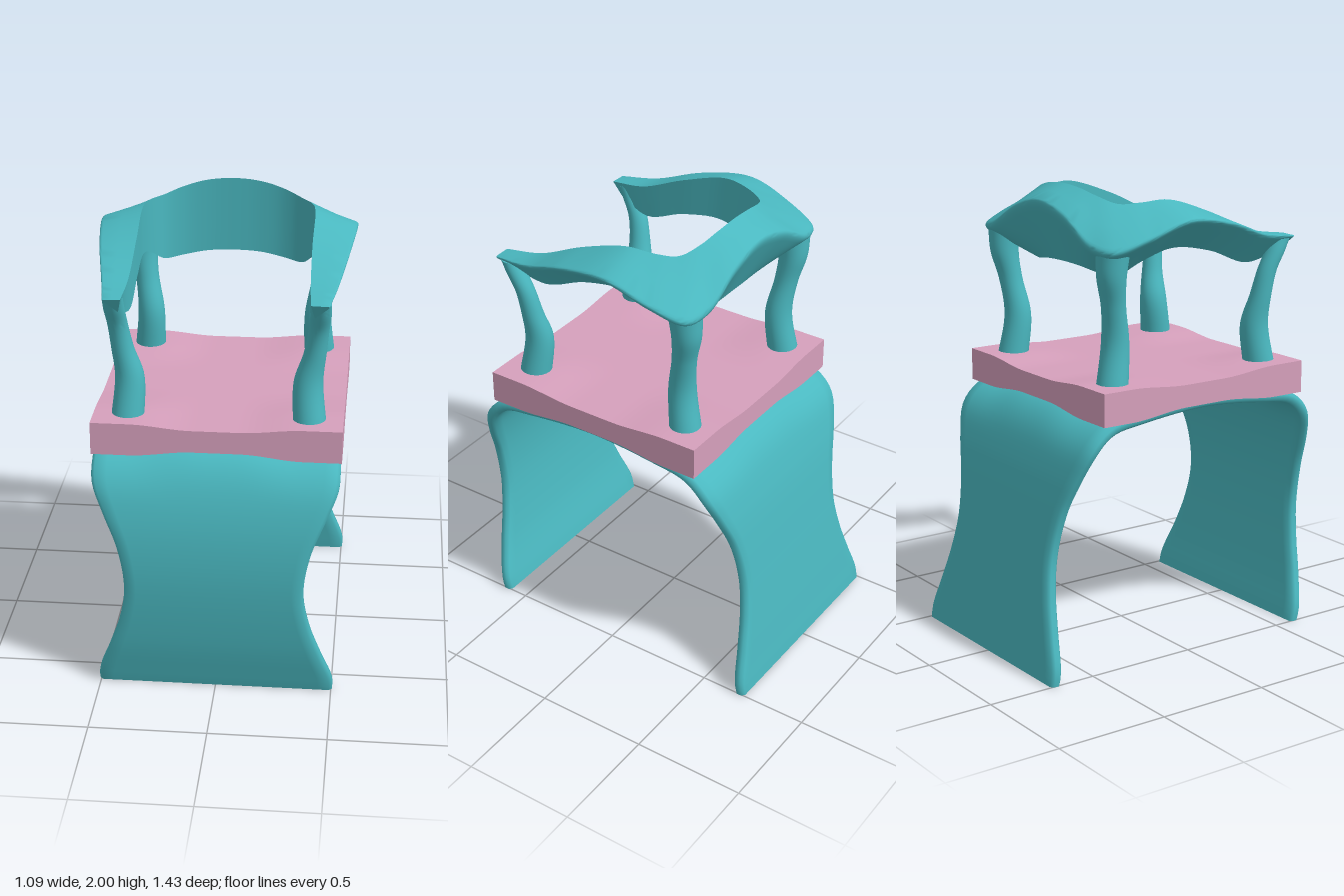
import * as THREE from 'three';
import { toCreasedNormals } from 'three/addons/utils/BufferGeometryUtils.js';

const teal = new THREE.MeshStandardMaterial({ color: 0x4ab8c0 });
const pink = new THREE.MeshStandardMaterial({ color: 0xd6a0bc });
const V = (x, y, z) => new THREE.Vector3(x, y, z);
const smooth = THREE.MathUtils.smoothstep;

// Skin a list of equal-length closed rings and cap both ends
function loft(rings, crease) {
  const n = rings[0].length, pos = [], idx = [];
  rings.forEach(r => r.forEach(p => pos.push(p.x, p.y, p.z)));
  for (let i = 0; i < rings.length - 1; i++) {
    for (let j = 0; j < n; j++) {
      const k = (j + 1) % n, a = i * n + j, b = i * n + k;
      idx.push(a, a + n, b + n, a, b + n, b);
    }
  }
  [0, rings.length - 1].forEach((i, end) => {
    const c = pos.length / 3;
    const mid = rings[i].reduce((s, p) => s.add(p), V(0, 0, 0)).divideScalar(n);
    pos.push(mid.x, mid.y, mid.z);
    for (let j = 0; j < n; j++) {
      const a = i * n + j, b = i * n + (j + 1) % n;
      if (end) idx.push(c, b, a); else idx.push(c, a, b);
    }
  });
  const g = new THREE.BufferGeometry();
  g.setAttribute('position', new THREE.Float32BufferAttribute(pos, 3));
  g.setIndex(idx);
  return toCreasedNormals(g, crease);
}

function part(name, geometry, material) {
  const m = new THREE.Mesh(geometry, material);
  m.name = name;
  return m;
}

// Hollow of the seat: 0 at the corners, 1 along the middle of each direction
const hollowX = x => 1 - smooth(Math.abs(x), 0.1, 0.36);
const hollowZ = z => 1 - smooth(Math.abs(z - 0.07), 0.1, 0.38);

// Seat slab with gently waved top and bottom
function seatGeometry() {
  const g = new THREE.BoxGeometry(1.04, 1, 1.045, 32, 1, 32).translate(0, 0, 0.0725);
  const p = g.attributes.position;
  for (let i = 0; i < p.count; i++) {
    const h = 1 - (1 - hollowX(p.getX(i))) * (1 - hollowZ(p.getZ(i)));
    p.setY(i, p.getY(i) > 0 ? 1.214 - 0.02 * h : 1.073 + 0.024 * h);
  }
  return toCreasedNormals(g, 0.6);
}

// Bent sheet: front leg, underside of the seat and back leg in one sweep
function baseGeometry() {
  const path = new THREE.CatmullRomCurve3([
    [0.605, 0], [0.665, 0.25], [0.70, 0.58], [0.68, 0.82], [0.63, 0.97], [0.555, 1.045],
    [0.4, 1.076], [0.08, 1.104], [-0.25, 1.078], [-0.4, 1.05], [-0.485, 0.98],
    [-0.54, 0.84], [-0.61, 0.48], [-0.685, 0],
  ].map(([z, y]) => V(0, y, z)));
  const width = new THREE.CubicInterpolant(
    [0, 0.05, 0.2, 0.35, 0.51, 0.7, 0.85, 0.97, 1.06],
    [0.505, 0.505, 0.453, 0.403, 0.377, 0.405, 0.465, 0.512, 0.516], 1, new Float32Array(1));
  const steps = 110, h = 0.024, rings = [];
  for (let i = 0; i <= steps; i++) {
    const c = path.getPointAt(i / steps), t = path.getTangentAt(i / steps);
    const w = width.evaluate(THREE.MathUtils.clamp(c.y, 0, 1.06))[0];
    const ring = [];
    const add = (x, n) => {
      const bulge = 0.024 * hollowX(x) * (1 - hollowZ(c.z)) * smooth(c.y, 0.9, 1.06);
      const y = i % steps === 0 ? 0 : Math.max(0, c.y - t.z * n + bulge);
      ring.push(V(x, y, c.z + t.y * n));
    };
    for (const s of [1, -1]) {
      for (let j = 0; j <= 20; j++) add(s * (w - 0.014) * (1 - j / 10), s * h);
      add(-s * w, s * 0.011);
      add(-s * w, -s * 0.011);
    }
    rings.push(ring);
  }
  return loft(rings, 0.9);
}

// Arm and back rail: three edge curves, mirrored, joined by a rounded triangle
function railGeometry() {
  const edge = half => new THREE.CatmullRomCurve3([
    ...half.map(p => V(...p)),
    ...half.slice(0, -1).reverse().map(([x, y, z]) => V(-x, y, z)),
  ]);
  const innerTop = edge([
    [0.38, 1.757, 0.592], [0.37, 1.785, 0.42], [0.365, 1.88, 0.2], [0.365, 1.95, -0.02],
    [0.345, 1.945, -0.14], [0.30, 1.94, -0.225], [0.22, 1.965, -0.27], [0.12, 1.99, -0.29], [0, 2, -0.295],
  ]);
  const ridge = edge([
    [0.46, 1.755, 0.592], [0.492, 1.78, 0.42], [0.535, 1.852, 0.2], [0.562, 1.885, -0.04],
    [0.552, 1.82, -0.25], [0.505, 1.77, -0.398], [0.39, 1.785, -0.434], [0.19, 1.89, -0.434], [0, 1.937, -0.434],
  ]);
  const innerBottom = edge([
    [0.395, 1.69, 0.555], [0.37, 1.645, 0.40], [0.365, 1.715, 0.2], [0.365, 1.745, 0],
    [0.345, 1.70, -0.14], [0.30, 1.645, -0.23], [0.22, 1.65, -0.275], [0.12, 1.665, -0.295], [0, 1.67, -0.30],
  ]);
  const rings = [], steps = 112;
  for (let i = 0; i <= steps; i++) {
    const [a, r, b] = [innerTop, ridge, innerBottom].map(c => c.getPoint(i / steps));
    const nose = new THREE.QuadraticBezierCurve3(b.clone().lerp(r, 0.82), r, a.clone().lerp(r, 0.85));
    rings.push([a, a.clone().lerp(b, 0.33), a.clone().lerp(b, 0.67), b,
      b.clone().lerp(r, 0.3), b.clone().lerp(r, 0.6), ...nose.getPoints(6), a.clone().lerp(r, 0.45)]);
  }
  return loft(rings, 0.85);
}

// Curved post from rows of x, y, z, radius
function postGeometry(rows) {
  const centre = new THREE.CatmullRomCurve3(rows.map(([x, y, z]) => V(x, y, z)));
  const radius = new THREE.CatmullRomCurve3(rows.map(r => V(r[3], r[1], 0)));
  const rings = [];
  for (let i = 0; i <= 28; i++) {
    const c = centre.getPoint(i / 28), r = radius.getPoint(i / 28).x;
    rings.push(Array.from({ length: 24 }, (_, j) => {
      const a = j / 24 * Math.PI * 2;
      return V(c.x + r * Math.cos(a), c.y, c.z + r * Math.sin(a));
    }));
  }
  return loft(rings, 0.8);
}

export function createModel() {
  const group = new THREE.Group();
  group.name = 'armchair';
  group.add(
    part('seat', seatGeometry(), pink),
    part('legSheet', baseGeometry(), teal),
    part('armAndBackRail', railGeometry(), teal),
  );

  // Four posts between seat and rail
  const posts = {
    FrontPost: [[0.38, 1.18, 0.47, 0.07], [0.37, 1.37, 0.447, 0.061], [0.395, 1.5, 0.459, 0.047],
      [0.41, 1.61, 0.48, 0.042], [0.418, 1.69, 0.515, 0.043], [0.42, 1.745, 0.54, 0.042]],
    BackPost: [[0.385, 1.18, -0.32, 0.069], [0.375, 1.38, -0.296, 0.059], [0.395, 1.54, -0.318, 0.052],
      [0.41, 1.66, -0.338, 0.062], [0.415, 1.76, -0.335, 0.07]],
  };
  for (const [name, rows] of Object.entries(posts)) {
    for (const s of [1, -1]) {
      const mirrored = rows.map(([x, y, z, r]) => [s * x, y, z, r]);
      group.add(part((s > 0 ? 'left' : 'right') + name, postGeometry(mirrored), teal));
    }
  }
  return group;
}
